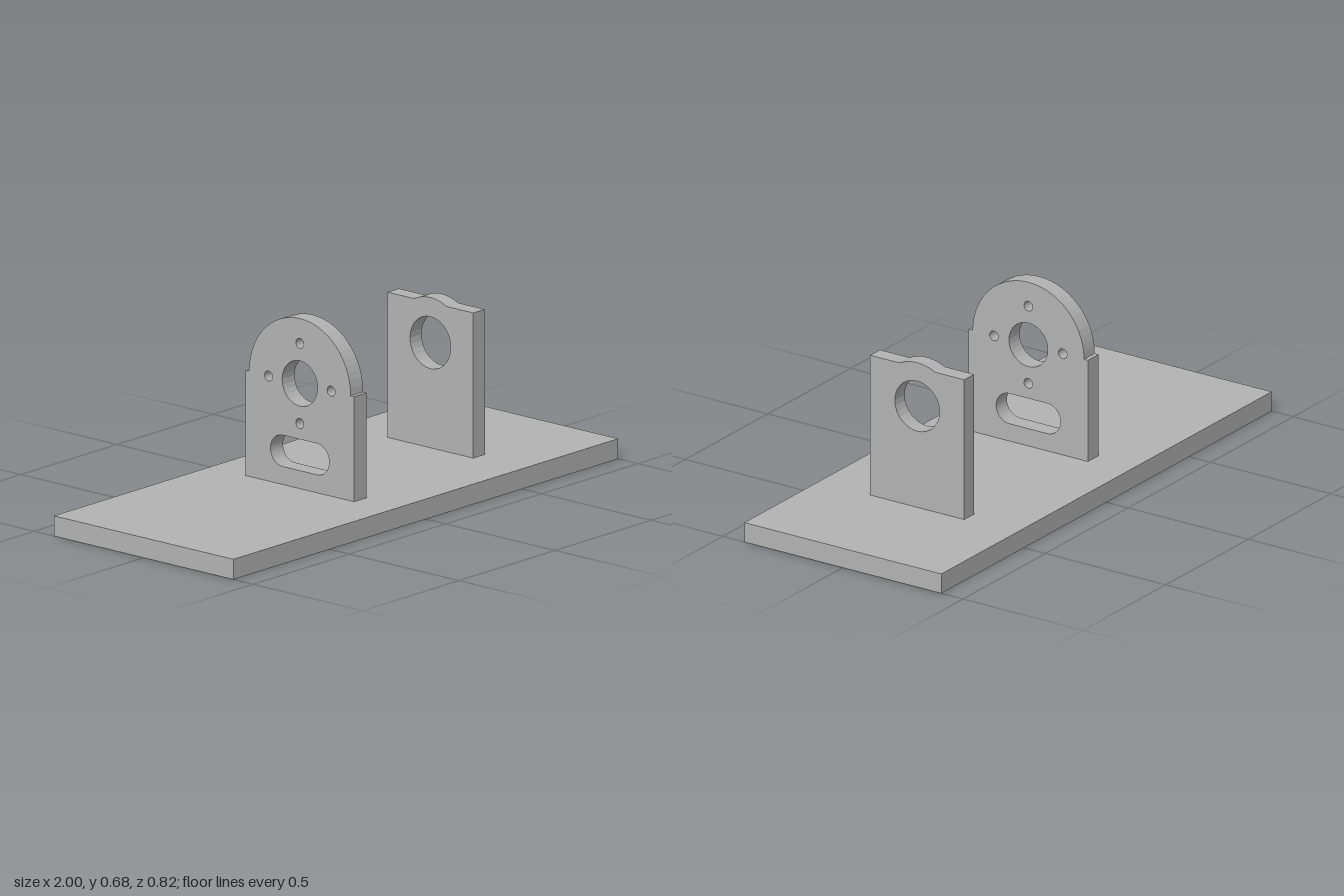
import * as THREE from 'three';

const BASE_TOP = 0.072;
const AXIS_Y = 0.447;

// Circular hole in a plate profile
function hole(x, y, r) {
  const path = new THREE.Path();
  path.absarc(x, y, r, 0, Math.PI * 2, true);
  return path;
}

// Upright plate: profile lies in the z-y plane, thickness runs along x
function plate(name, shape, x, thickness, material) {
  const geo = new THREE.ExtrudeGeometry(shape, { depth: thickness, bevelEnabled: false, curveSegments: 14 });
  geo.rotateY(Math.PI / 2);
  const mesh = new THREE.Mesh(geo, material);
  mesh.name = name;
  mesh.position.x = x;
  return mesh;
}

export function createModel() {
  const group = new THREE.Group();
  group.name = 'bracketStand';
  const grey = new THREE.MeshStandardMaterial({ color: 0xb2b2b2 });
  grey.name = 'grey';

  // Base slab
  const base = new THREE.Mesh(new THREE.BoxGeometry(2, BASE_TOP, 0.82), grey);
  base.name = 'base';
  base.position.y = BASE_TOP / 2;
  group.add(base);

  // Round-topped mounting plate with small shoulders beside the arch
  const arch = new THREE.Shape();
  arch.moveTo(-0.248, BASE_TOP);
  arch.lineTo(0.248, BASE_TOP);
  arch.lineTo(0.248, AXIS_Y);
  arch.lineTo(0.232, AXIS_Y);
  arch.absarc(0, AXIS_Y, 0.232, 0, Math.PI, false);
  arch.lineTo(-0.248, AXIS_Y);
  arch.closePath();

  // Shaft hole and four screw holes around it
  arch.holes.push(hole(0, AXIS_Y, 0.081));
  for (let i = 0; i < 4; i++) {
    const a = i * Math.PI / 2;
    arch.holes.push(hole(0.143 * Math.cos(a), AXIS_Y + 0.143 * Math.sin(a), 0.018));
  }

  // Rounded slot near the foot
  const slot = new THREE.Path();
  const r = 0.056, half = 0.078, slotY = 0.192;
  slot.absarc(half, slotY, r, Math.PI / 2, -Math.PI / 2, true);
  slot.absarc(-half, slotY, r, -Math.PI / 2, -Math.PI * 1.5, true);
  slot.closePath();
  arch.holes.push(slot);
  group.add(plate('mountingPlate', arch, -0.188, 0.065, grey));

  // Square bearing plate with a shallow bump over its hole
  const top = 0.59, bumpR = 0.161;
  const a0 = Math.asin((top - AXIS_Y) / bumpR);
  const bearing = new THREE.Shape();
  bearing.moveTo(-0.196, BASE_TOP);
  bearing.lineTo(0.196, BASE_TOP);
  bearing.lineTo(0.196, top);
  bearing.absarc(0, AXIS_Y, bumpR, a0, Math.PI - a0, false);
  bearing.lineTo(-0.196, top);
  bearing.closePath();
  bearing.holes.push(hole(0, AXIS_Y, 0.093));
  group.add(plate('bearingPlate', bearing, 0.49, 0.06, grey));

  return group;
}
